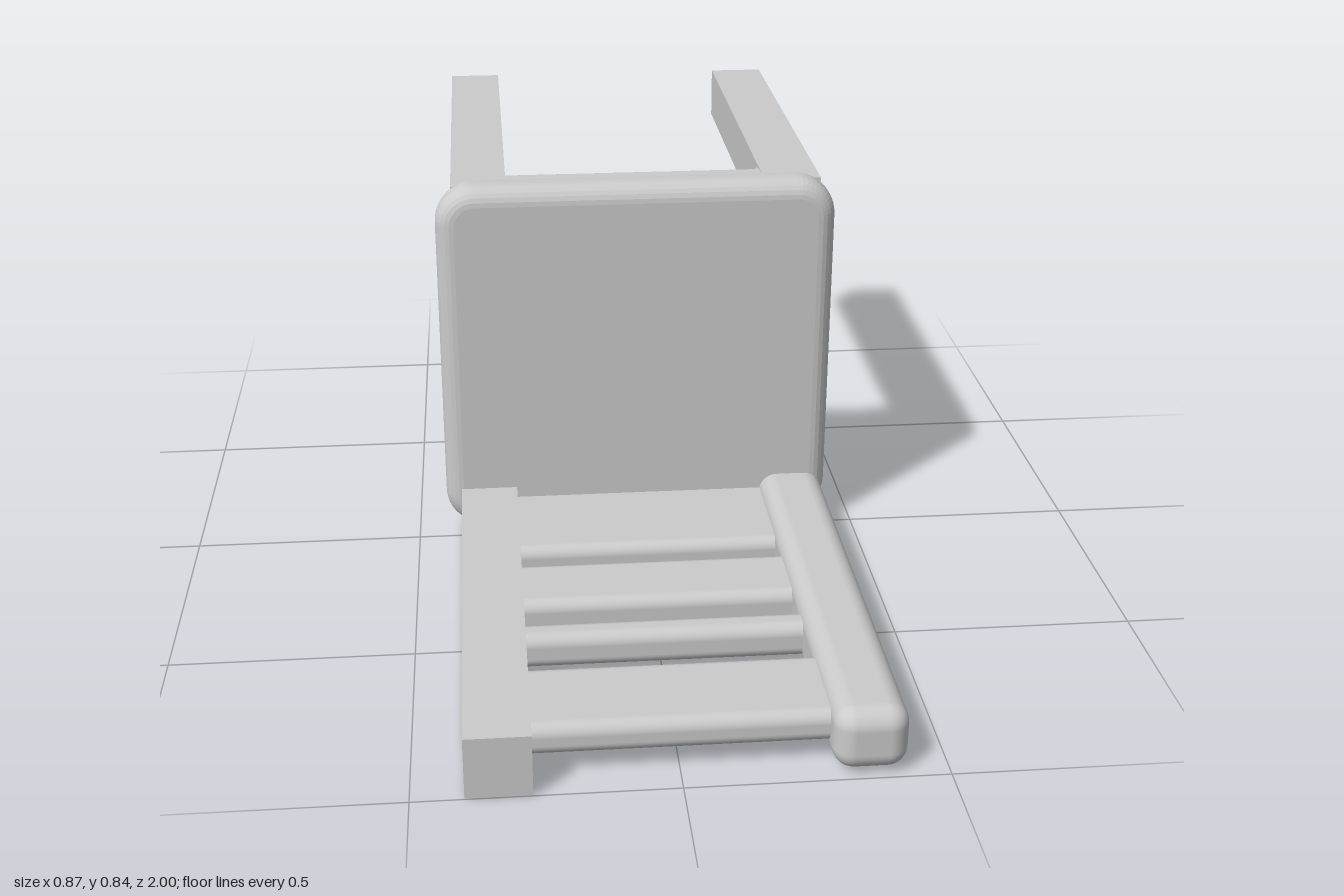
import * as THREE from 'three';
import { RoundedBoxGeometry } from 'three/addons/geometries/RoundedBoxGeometry.js';

const material = new THREE.MeshStandardMaterial({ color: 0xcccccc });

// A block given by its limits on each axis; radius 0 keeps the edges sharp.
function block(name, [x0, x1], [y0, y1], [z0, z1], radius = 0) {
  const w = x1 - x0, h = y1 - y0, d = z1 - z0;
  const geometry = radius
    ? new RoundedBoxGeometry(w, h, d, 4, radius)
    : new THREE.BoxGeometry(w, h, d);
  const mesh = new THREE.Mesh(geometry, material);
  mesh.name = name;
  mesh.position.set((x0 + x1) / 2, (y0 + y1) / 2, (z0 + z1) / 2);
  return mesh;
}

// Cushioned seat: rounded square with a soft rim, standing upright.
function createSeat() {
  const bevel = 0.04, r = 0.045;
  const x = 0.435 - bevel, y0 = 0.035 + bevel, y1 = 0.845 - bevel;
  const s = new THREE.Shape();
  s.moveTo(-x + r, y0);
  s.lineTo(x - r, y0);
  s.absarc(x - r, y0 + r, r, -Math.PI / 2, 0);
  s.absarc(x - r, y1 - r, r, 0, Math.PI / 2);
  s.absarc(-x + r, y1 - r, r, Math.PI / 2, Math.PI);
  s.absarc(-x + r, y0 + r, r, Math.PI, Math.PI * 1.5);
  const geometry = new THREE.ExtrudeGeometry(s, {
    depth: 0.1 - 2 * bevel, bevelEnabled: true, bevelSize: bevel,
    bevelThickness: bevel, bevelSegments: 6, curveSegments: 6,
  });
  geometry.translate(0, 0, -0.08 + bevel);
  const mesh = new THREE.Mesh(geometry, material);
  mesh.name = 'seat';
  return mesh;
}

// Small concave brace where a rail meets a leg.
function createFillet(name, x, y, r, width, axis) {
  const s = new THREE.Shape();
  s.moveTo(0, 0);
  s.lineTo(r, 0);
  s.absarc(r, r, r, -Math.PI / 2, -Math.PI, true);
  s.lineTo(0, 0);
  const geometry = new THREE.ExtrudeGeometry(s, { depth: width, bevelEnabled: false, curveSegments: 6 });
  if (axis === 'x') geometry.rotateY(-Math.PI / 2); // quarter lies in the y-z plane
  else geometry.rotateX(Math.PI / 2);               // quarter lies in the x-z plane
  geometry.rotateY(Math.PI);
  const mesh = new THREE.Mesh(geometry, material);
  mesh.name = name;
  mesh.position.set(x, y, -0.145);
  return mesh;
}

export function createModel() {
  const chair = new THREE.Group();
  chair.name = 'chairOnItsBack';
  chair.add(createSeat());

  // Four legs reaching back
  const sides = { right: [-0.4, -0.28], left: [0.285, 0.41] };
  for (const [side, xs] of Object.entries(sides)) {
    chair.add(block(side + 'FrontLeg', xs, [0.71, 0.828], [-1, -0.06]));
    chair.add(block(side + 'BackLeg', xs, [0.02, 0.125], [-1, 0]));
  }

  // Frame under the seat, joining the legs
  const rails = new THREE.Group();
  rails.name = 'seatFrame';
  rails.add(
    block('frontRail', [-0.29, 0.3], [0.745, 0.826], [-0.148, -0.06], 0.012),
    block('backRail', [-0.29, 0.3], [0.012, 0.1], [-0.145, 0.0], 0.012),
    block('rightRail', [-0.395, -0.31], [0.11, 0.72], [-0.143, -0.06], 0.012),
    block('leftRail', [0.32, 0.405], [0.11, 0.72], [-0.143, -0.06], 0.012),
    createFillet('frontRailFillet', 0.285, 0.82, 0.035, 0.07, 'y'),
    createFillet('leftRailFillet', 0.325, 0.125, 0.02, 0.075, 'x'),
  );
  chair.add(rails);

  // Backrest posts: one square, one rounded
  chair.add(block('rightPost', [-0.4, -0.275], [0.01, 0.137], [-0.06, 1]));
  chair.add(block('leftPost', [0.28, 0.422], [0.015, 0.145], [-0.07, 0.998], 0.04));

  // Backrest slats between the posts, rising gently towards the top
  const slats = [
    [[0.008, 0.112], [-0.02, 0.27]],
    [[0.03, 0.114], [0.33, 0.5]],
    [[0.04, 0.115], [0.57, 0.635]],
    [[0.05, 0.116], [0.735, 0.945]],
  ];
  slats.forEach(([ys, zs], i) => {
    chair.add(block('slat' + (i + 1), [-0.31, 0.33], ys, zs, 0.025));
  });

  return chair;
}
